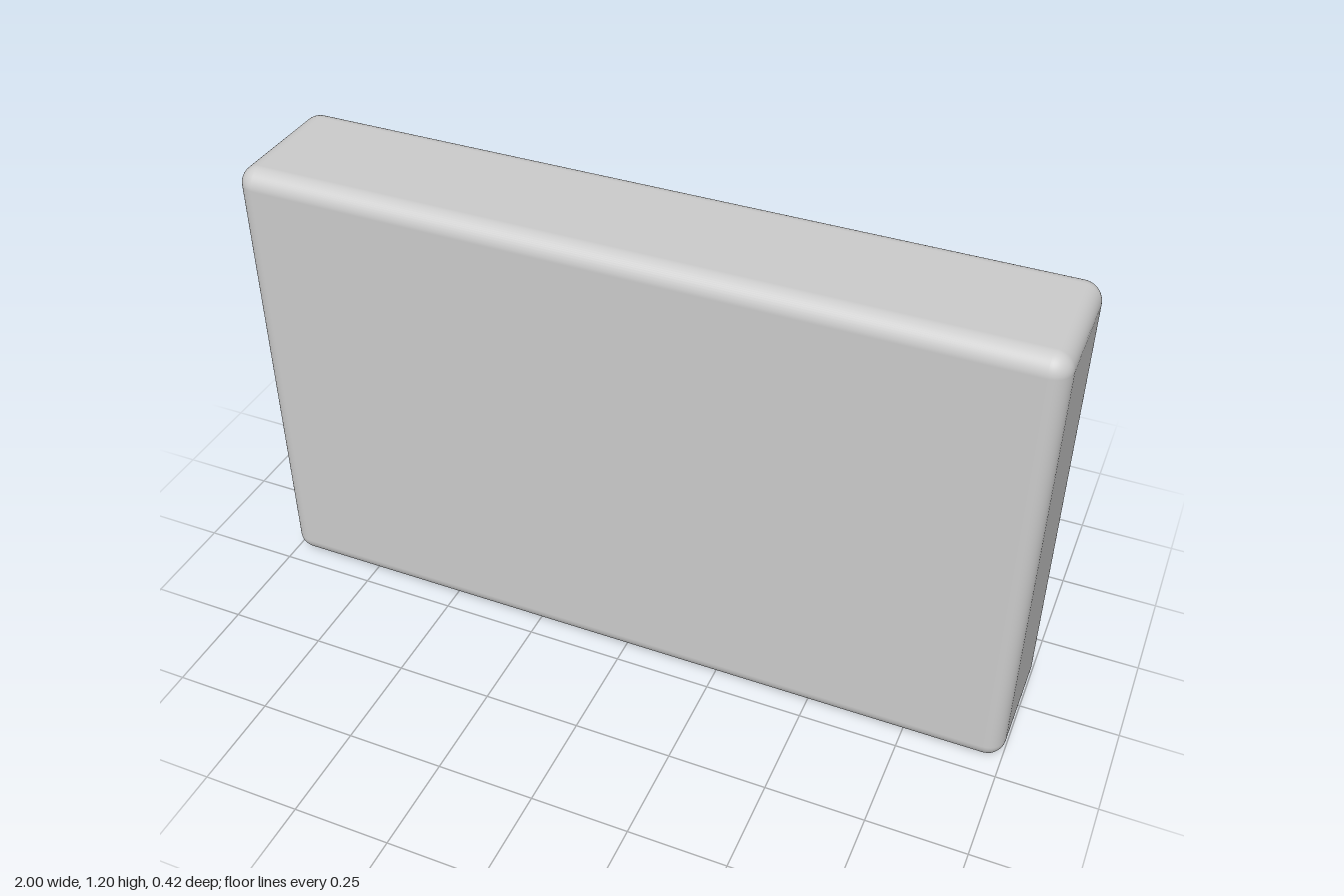
import * as THREE from 'three';
import { RoundedBoxGeometry } from 'three/addons/geometries/RoundedBoxGeometry.js';

const W = 2, H = 1.2, R = 0.047;
const FRONT = 0.212, BACK = -0.145, KEY_BACK = -0.212;
const POCKET_DEPTH = 0.158;
const FLOOR = BACK + POCKET_DEPTH;
const KEY = 0.458, SLOT = 0.5;

// Square key positions and all recesses in the back face
const keys = [];
for (const x of [0.442, -0.153]) for (const y of [0.3, 0.9]) keys.push({ x, y });
const recesses = keys.map(({ x, y }) => ({ name: 'keySlot', x, y, w: SLOT, h: 0.498 }));
recesses.push({ name: 'longPocket', x: -0.705, y: 0.6, w: 0.4, h: 1.0 });

const material = new THREE.MeshStandardMaterial({ color: 0xcccccc });

function part(name, geometry) {
  const mesh = new THREE.Mesh(geometry, material);
  mesh.name = name;
  return mesh;
}

// Rounded shell with the flat area of its back removed
function shellGeometry() {
  const depth = FRONT - BACK;
  const box = new RoundedBoxGeometry(W, H, depth, 6, R).toNonIndexed();
  const p = box.attributes.position, n = box.attributes.normal;
  const pos = [], nor = [];
  for (let i = 0; i < p.count; i += 3) {
    if ([0, 1, 2].every((k) => p.getZ(i + k) < -depth / 2 + 1e-5)) continue;
    for (let k = i; k < i + 3; k++) {
      pos.push(p.getX(k), p.getY(k), p.getZ(k));
      nor.push(n.getX(k), n.getY(k), n.getZ(k));
    }
  }
  const g = new THREE.BufferGeometry();
  g.setAttribute('position', new THREE.Float32BufferAttribute(pos, 3));
  g.setAttribute('normal', new THREE.Float32BufferAttribute(nor, 3));
  return g.translate(0, H / 2, (FRONT + BACK) / 2);
}

// Adds a rectangle to a shape or path
function rect(path, x, y, w, h) {
  path.moveTo(x - w / 2, y - h / 2);
  path.lineTo(x + w / 2, y - h / 2);
  path.lineTo(x + w / 2, y + h / 2);
  path.lineTo(x - w / 2, y + h / 2);
  path.closePath();
  return path;
}

// Flat back with an opening for every recess (turned to face -z, so x is mirrored)
function backGeometry() {
  const shape = rect(new THREE.Shape(), 0, H / 2, W - 2 * R, H - 2 * R);
  for (const r of recesses) shape.holes.push(rect(new THREE.Path(), -r.x, r.y, r.w, r.h));
  return new THREE.ShapeGeometry(shape).rotateY(Math.PI).translate(0, 0, BACK);
}

// Inward-facing box, open towards the back
function recessGeometry({ x, y, w, h }) {
  const g = new THREE.BoxGeometry(w, h, POCKET_DEPTH);
  g.setIndex(Array.from(g.index.array).slice(0, 30).reverse());
  g.clearGroups();
  g.computeVertexNormals();
  return g.translate(x, y, BACK + POCKET_DEPTH / 2);
}

export function createModel() {
  const model = new THREE.Group();
  model.name = 'keypadBlock';

  const body = new THREE.Group();
  body.name = 'body';
  body.add(part('shell', shellGeometry()), part('backPanel', backGeometry()));
  for (const r of recesses) body.add(part(r.name, recessGeometry(r)));
  model.add(body);

  // Square keys standing on the slot floors and rising past the back
  const depth = FLOOR - KEY_BACK;
  for (const { x, y } of keys) {
    const key = part('key', new THREE.BoxGeometry(KEY, KEY, depth));
    key.position.set(x, y, KEY_BACK + depth / 2);
    model.add(key);
  }
  return model;
}
